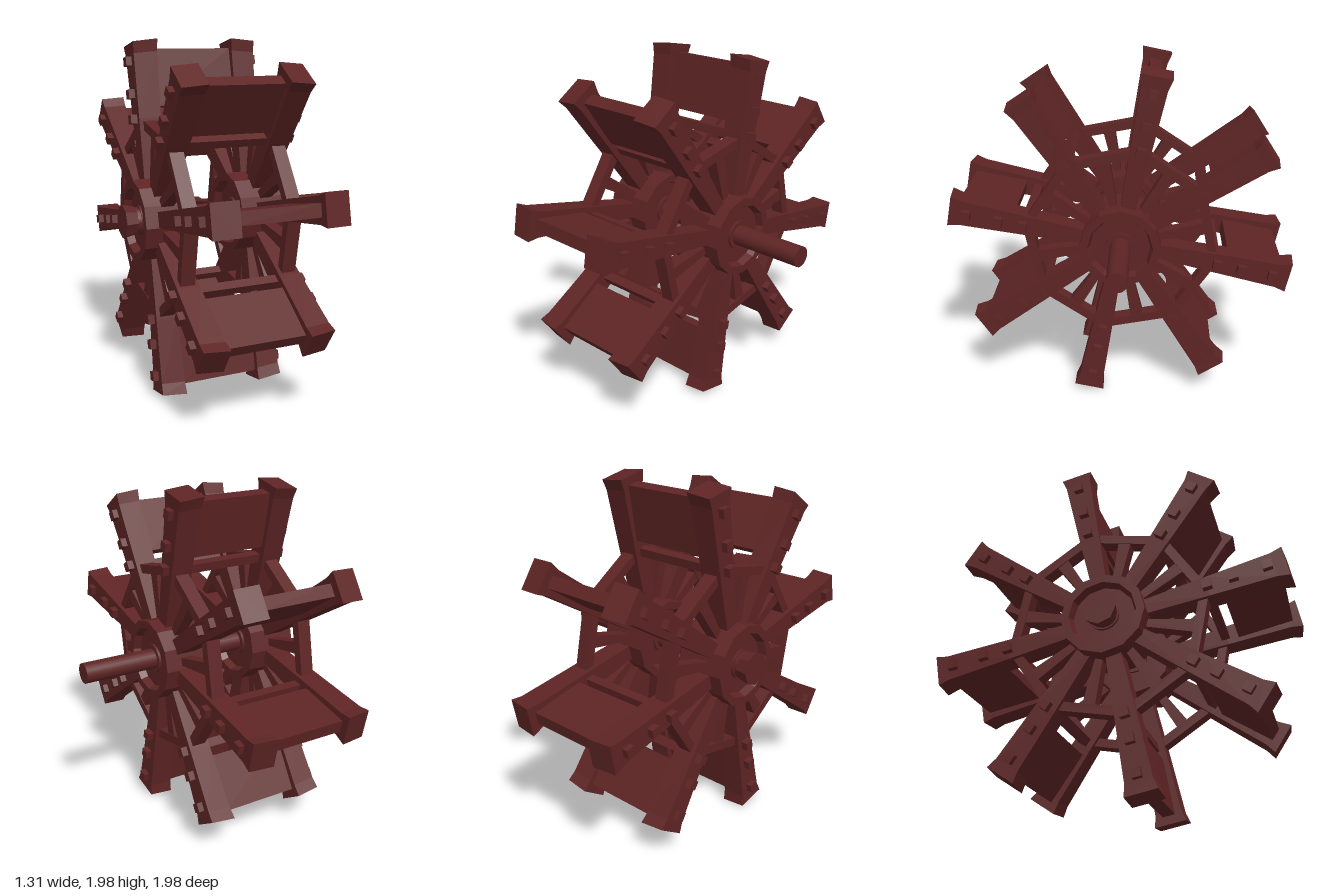
import * as THREE from 'three';

const MID = -0.17;          // x of the plane between the two wheels
const COUNT = 8;
const STEP = (Math.PI * 2) / COUNT;
const START = -STEP / 4;

// Tapered bar along +y. Each section: [yInner, yOuter, dInner, dOuter, halfWidth],
// where d is the distance from the middle plane and side is +1 or -1.
function taperedBar(sections, side) {
  const pos = [], idx = [];
  for (const [yi, yo, di, dOut, w] of sections) {
    let a = [MID + side * di, yi], b = [MID + side * dOut, yo];
    if (side < 0) [a, b] = [b, a];
    pos.push(a[0], a[1], -w, a[0], a[1], w, b[0], b[1], w, b[0], b[1], -w);
  }
  const last = (sections.length - 1) * 4;
  for (let s = 0; s < last; s += 4) {
    for (let k = 0; k < 4; k++) {
      const n = (k + 1) % 4;
      idx.push(s + k, s + n, s + 4 + n, s + k, s + 4 + n, s + 4 + k);
    }
  }
  idx.push(0, 2, 1, 0, 3, 2, last, last + 1, last + 2, last, last + 2, last + 3);
  const g = new THREE.BufferGeometry();
  g.setAttribute('position', new THREE.Float32BufferAttribute(pos, 3));
  g.setIndex(idx);
  return flat(g);
}

function flat(g) {
  const f = g.index ? g.toNonIndexed() : g;
  f.computeVertexNormals();
  return f;
}

export function createModel() {
  const wood = new THREE.MeshStandardMaterial({ color: 0x5e2424 });
  wood.name = 'dark red wood';
  const model = new THREE.Group();
  model.name = 'paddleWheel';

  const add = (parent, name, geometry, x = 0, y = 0, z = 0) => {
    const m = new THREE.Mesh(geometry, wood);
    m.name = name;
    m.position.set(x, y, z);
    parent.add(m);
    return m;
  };

  const wheel = new THREE.Group();
  wheel.name = 'wheel';
  wheel.position.y = 1;
  model.add(wheel);

  // Hub drum with a recessed face at both ends
  const hubProfile = [
    [0, -0.1], [0.17, -0.1], [0.185, -0.1425], [0.23, -0.1425],
    [0.23, 0.1425], [0.185, 0.1425], [0.17, 0.1], [0, 0.1],
  ].map(([r, y]) => new THREE.Vector2(r, y));
  const hubGeo = flat(new THREE.LatheGeometry(hubProfile, 12).rotateZ(-Math.PI / 2));
  const collarGeo = new THREE.CylinderGeometry(0.083, 0.083, 0.23, 20).rotateZ(Math.PI / 2);

  // Shared bars
  const boltGeo = new THREE.BoxGeometry(0.05, 0.05, 0.05);
  const rimGeo = new THREE.BoxGeometry(0.08, 0.05, 0.42);
  const paddleGeo = new THREE.BoxGeometry(0.46, 0.32, 0.07);
  const crossBarGeo = new THREE.BoxGeometry(0.46, 0.05, 0.05);

  for (const side of [1, -1]) {
    const half = new THREE.Group();
    half.name = side > 0 ? 'leftWheelFrame' : 'rightWheelFrame';
    wheel.add(half);
    add(half, 'hub', hubGeo, MID + side * 0.2825);
    add(half, 'hubCollar', collarGeo, MID + side * 0.2825);

    const spokeGeo = taperedBar([
      [0.12, 0.12, 0.238, 0.352, 0.038],
      [0.56, 0.56, 0.232, 0.358, 0.058],
      [0.925, 0.915, 0.227, 0.363, 0.072],
      [0.992, 0.977, 0.224, 0.366, 0.087],
    ], side);
    const thinGeo = taperedBar([
      [0.15, 0.15, 0.26, 0.33, 0.018],
      [0.49, 0.49, 0.26, 0.33, 0.036],
    ], side);

    for (let i = 0; i < COUNT; i++) {
      // Main spoke with its bolts
      const arm = new THREE.Group();
      arm.name = 'spokeWithBolts';
      arm.rotation.x = START + i * STEP;
      half.add(arm);
      add(arm, 'spoke', spokeGeo);
      for (const r of [0.56, 0.7, 0.88]) add(arm, 'bolt', boltGeo, MID + side * 0.37, r);

      // Rim beam and thin spoke between two main spokes
      const bay = new THREE.Group();
      bay.name = 'rimBay';
      bay.rotation.x = START + (i + 0.5) * STEP;
      half.add(bay);
      add(bay, 'rimBeam', rimGeo, MID + side * 0.295, 0.5);
      add(bay, 'thinSpoke', thinGeo);
    }
  }

  // Paddles and cross bars joining the two frames
  for (let i = 0; i < COUNT; i++) {
    const span = new THREE.Group();
    span.name = 'paddleSpan';
    span.rotation.x = START + i * STEP;
    wheel.add(span);
    add(span, 'paddle', paddleGeo, MID, 0.785);
    add(span, 'crossBar', crossBarGeo, MID, 0.55);
  }

  // Axle and its end nut
  const axle = new THREE.CylinderGeometry(0.058, 0.058, 1.275, 20).rotateZ(Math.PI / 2);
  add(wheel, 'axle', axle, 0.0175);
  const nut = flat(new THREE.CylinderGeometry(0.095, 0.08, 0.07, 8).rotateZ(Math.PI / 2));
  add(wheel, 'endNut', nut, -0.622);
  const nutStem = new THREE.CylinderGeometry(0.075, 0.075, 0.12, 16).rotateZ(Math.PI / 2);
  add(wheel, 'nutStem', nutStem, -0.56);

  return model;
}
